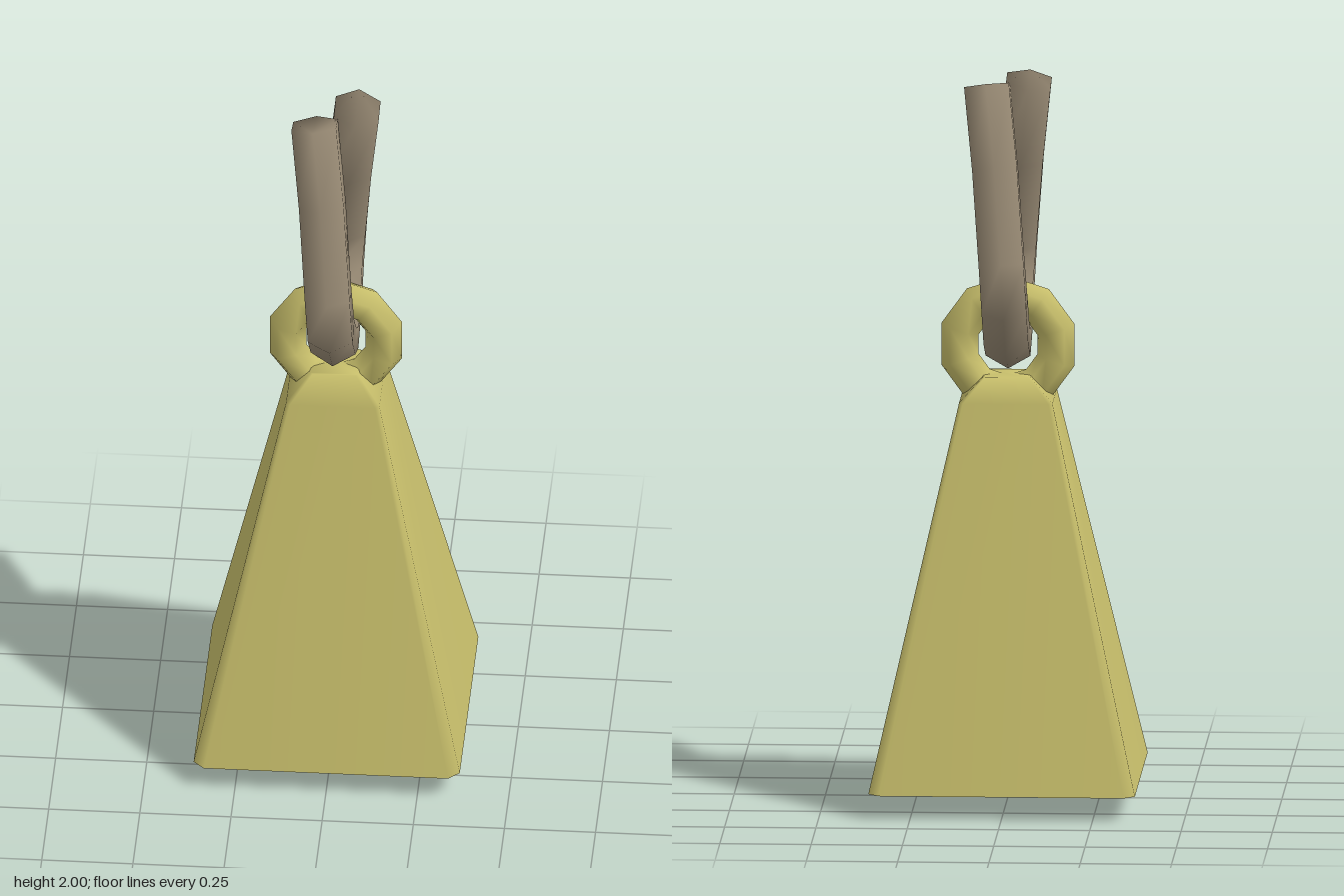
import * as THREE from 'three';

const brass = new THREE.MeshStandardMaterial({ color: 0xc9c06c });
brass.name = 'brass';
const cord = new THREE.MeshStandardMaterial({ color: 0x998b75 });
cord.name = 'cord';

// Skin a list of equal-length rings; each ring runs counter-clockwise about the travel direction
function loft(rings, capStart, capEnd) {
  const n = rings[0].length;
  const pos = rings.flat().flatMap((p) => [p.x, p.y, p.z]);
  const index = [];
  for (let j = 0; j < rings.length - 1; j++) {
    for (let i = 0; i < n; i++) {
      const a = j * n + i, b = j * n + (i + 1) % n;
      index.push(a, b, b + n, a, b + n, a + n);
    }
  }
  const last = (rings.length - 1) * n;
  for (let i = 1; i < n - 1; i++) {
    if (capStart) index.push(0, i + 1, i);
    if (capEnd) index.push(last, last + i, last + i + 1);
  }
  const geo = new THREE.BufferGeometry();
  geo.setAttribute('position', new THREE.Float32BufferAttribute(pos, 3));
  geo.setIndex(index);
  geo.computeVertexNormals();
  return geo;
}

// Square ring with cut corners: half width h, corner cut c, height y
function squareRing(h, c, y) {
  const ring = [];
  for (let k = 0; k < 4; k++) {
    const turn = k * Math.PI / 2;
    for (const [x, z] of [[h, h - c], [h, c - h]]) {
      ring.push(new THREE.Vector3(x, y, z).applyAxisAngle(new THREE.Vector3(0, 1, 0), turn));
    }
  }
  return ring;
}

// Six-sided rope following a list of centre points
function ropeGeometry(points, radius) {
  const rings = points.map((p, i) => {
    const before = points[Math.max(i - 1, 0)], after = points[Math.min(i + 1, points.length - 1)];
    const inDir = p.clone().sub(before).normalize(), outDir = after.clone().sub(p).normalize();
    const t = inDir.add(outDir).normalize();
    const u = new THREE.Vector3(1, 0, 0);
    u.addScaledVector(t, -u.dot(t)).normalize();
    const v = t.clone().cross(u);
    return Array.from({ length: 6 }, (_, k) => {
      const a = k * Math.PI / 3;
      return p.clone().addScaledVector(v, radius * Math.cos(a)).addScaledVector(u, -radius * Math.sin(a));
    });
  });
  return loft(rings, true, true);
}

export function createModel() {
  const model = new THREE.Group();
  model.name = 'bell';
  const add = (name, geo, mat, y = 0) => {
    const mesh = new THREE.Mesh(geo, mat);
    mesh.name = name;
    mesh.position.y = y;
    model.add(mesh);
    return mesh;
  };

  // Hollow square bell: outside, underside rim and inside
  const outerBottom = squareRing(0.365, 0.03, 0.065);
  const innerBottom = squareRing(0.335, 0.028, 0.065);
  add('bellOuter', loft([outerBottom, squareRing(0.128, 0.011, 1.115), squareRing(0.065, 0.006, 1.178)], false, true), brass);
  add('bellRim', loft([innerBottom, outerBottom]), brass);
  add('bellInner', loft([squareRing(0.105, 0.01, 1.085), innerBottom], true), brass);

  // Clapper
  add('clapperRod', new THREE.CylinderGeometry(0.045, 0.045, 0.94, 8, 1, true), brass, 0.615);
  add('clapperBall', new THREE.SphereGeometry(0.112, 8, 4), brass, 0.112);

  // Hanging ring, sunk into the crown
  const ring = new THREE.TorusGeometry(0.138, 0.053, 6, 10);
  ring.rotateZ(Math.PI / 10);
  add('hangingRing', ring, brass, 1.258);

  // Rope loop: one strand, then its half-turn copy
  const strand = [
    [-0.055, 1.985, 0.045], [-0.03, 1.76, 0.1], [-0.008, 1.51, 0.177],
    [0, 1.395, 0.177], [0, 1.305, 0.085],
  ];
  const front = strand.map((p) => new THREE.Vector3(...p));
  const back = front.map((p) => new THREE.Vector3(-p.x, p.y, -p.z)).reverse();
  add('ropeLoop', ropeGeometry([...front, new THREE.Vector3(0, 1.262, 0), ...back], 0.071), cord);

  return model;
}
